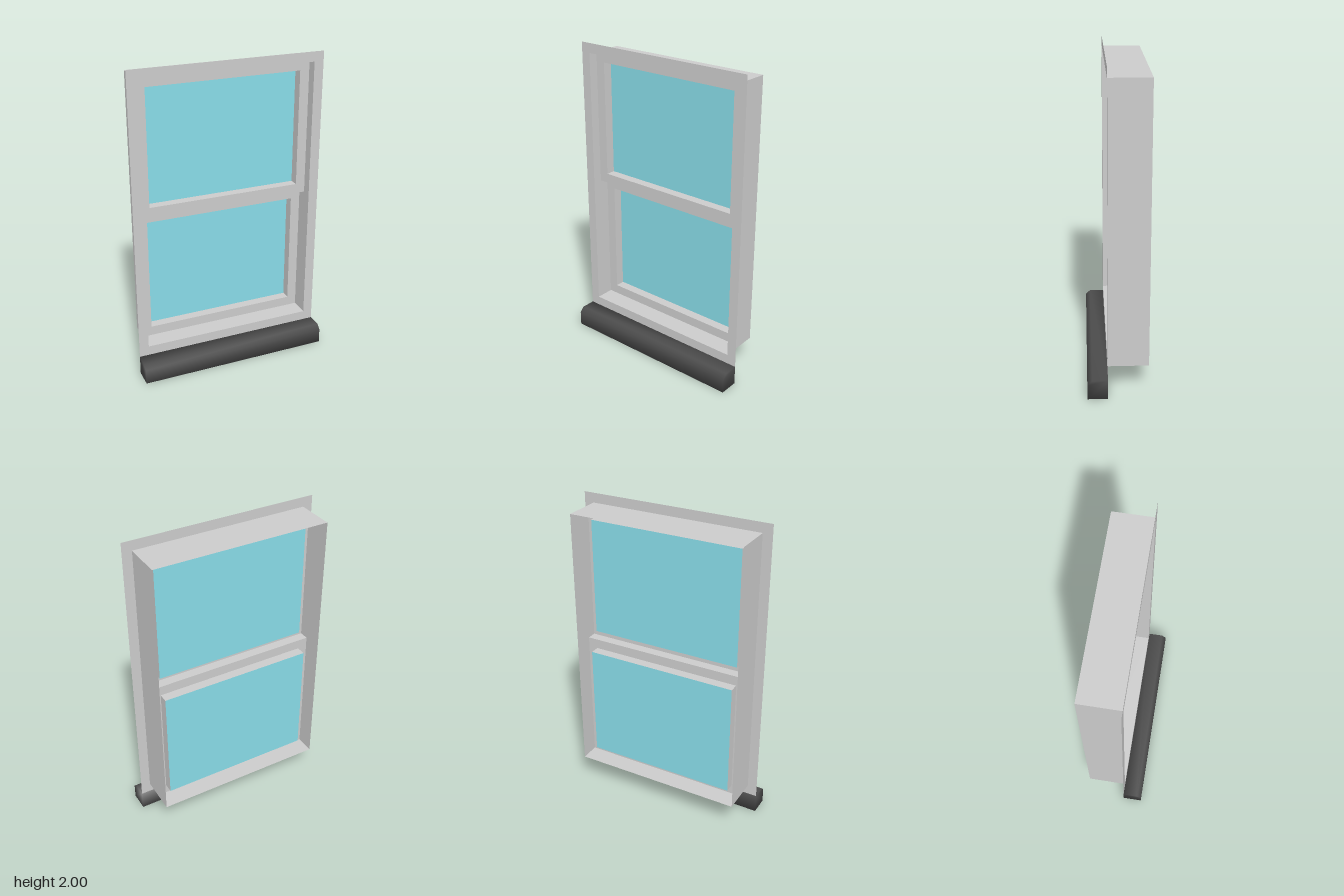
import * as THREE from 'three';
import { mergeGeometries, mergeVertices } from 'three/addons/utils/BufferGeometryUtils.js';

const grey = new THREE.MeshStandardMaterial({ color: 0xcccccc, side: THREE.DoubleSide });
const glass = new THREE.MeshStandardMaterial({ color: 0x88dbe7, side: THREE.DoubleSide });
const dark = new THREE.MeshStandardMaterial({ color: 0x4c4c4c });

// Rectangles are { w: half width, b: bottom, t: top }
const corners = ({ w, b, t }) => [[-w, b], [w, b], [w, t], [-w, t]].map(p => new THREE.Vector2(...p));

// Flat sheet with a rectangular opening, facing +z
function sheet(outer, hole, z) {
  const shape = new THREE.Shape(corners(outer));
  if (hole) shape.holes.push(new THREE.Path(corners(hole)));
  return new THREE.ShapeGeometry(shape).translate(0, 0, z);
}

// Four thin walls around a rectangle, from z0 (back) to z1 (front)
function walls({ w, b, t }, z0, z1) {
  const d = z1 - z0, z = (z0 + z1) / 2, y = (b + t) / 2;
  const side = s => new THREE.PlaneGeometry(d, t - b).rotateY(s * Math.PI / 2).translate(s * w, y, z);
  const level = (s, h) => new THREE.PlaneGeometry(2 * w, d).rotateX(-s * Math.PI / 2).translate(0, h, z);
  return mergeGeometries([side(1), side(-1), level(1, t), level(-1, b)]);
}

function add(parent, name, geometry, material) {
  const mesh = new THREE.Mesh(geometry, material);
  mesh.name = name;
  parent.add(mesh);
}

// Sash: front sheet, reveal going back around the opening, glass at its back
function sash(name, outer, z) {
  const m = 0.0625;
  const hole = { w: outer.w - m, b: outer.b + m, t: outer.t - m };
  const group = new THREE.Group();
  group.name = name;
  add(group, 'sashFace', sheet(outer, hole, z), grey);
  add(group, 'sashReveal', walls(hole, z - m, z), grey);
  add(group, 'glassPane', sheet(hole, null, z - m), glass);
  return group;
}

export function createModel() {
  const model = new THREE.Group();
  model.name = 'window';
  const opening = { w: 0.5625, b: 0.1875, t: 1.9375 };
  const middle = 1.0625;

  // Front trim and the deep box behind it
  add(model, 'frontTrim', sheet({ w: 0.625, b: 0.125, t: 2 }, opening, 0.0625), grey);
  add(model, 'frameBox', walls(opening, -0.1875, 0.0625), grey);

  // Sashes, the lower one set further back, joined by a ledge
  model.add(sash('upperSash', { ...opening, b: middle }, 0));
  model.add(sash('lowerSash', { ...opening, t: middle }, -0.0625));
  add(model, 'meetingLedge',
    new THREE.PlaneGeometry(1.125, 0.0625).rotateX(-Math.PI / 2).translate(0, middle, -0.03125), grey);

  // Sill: chamfered bar along x with softly shaded edges
  const profile = new THREE.Shape([[0.0625, 0], [0.1875, 0], [0.1875, 0.095], [0.1575, 0.125], [0.0625, 0.125]]
    .map(([z, y]) => new THREE.Vector2(-z, y)));
  let sill = new THREE.ExtrudeGeometry(profile, { depth: 1.25, bevelEnabled: false });
  sill.translate(0, 0, -0.625).rotateY(Math.PI / 2);
  sill.deleteAttribute('normal');
  sill.deleteAttribute('uv');
  sill = mergeVertices(sill);
  sill.computeVertexNormals();
  add(model, 'sill', sill, dark);

  return model;
}
